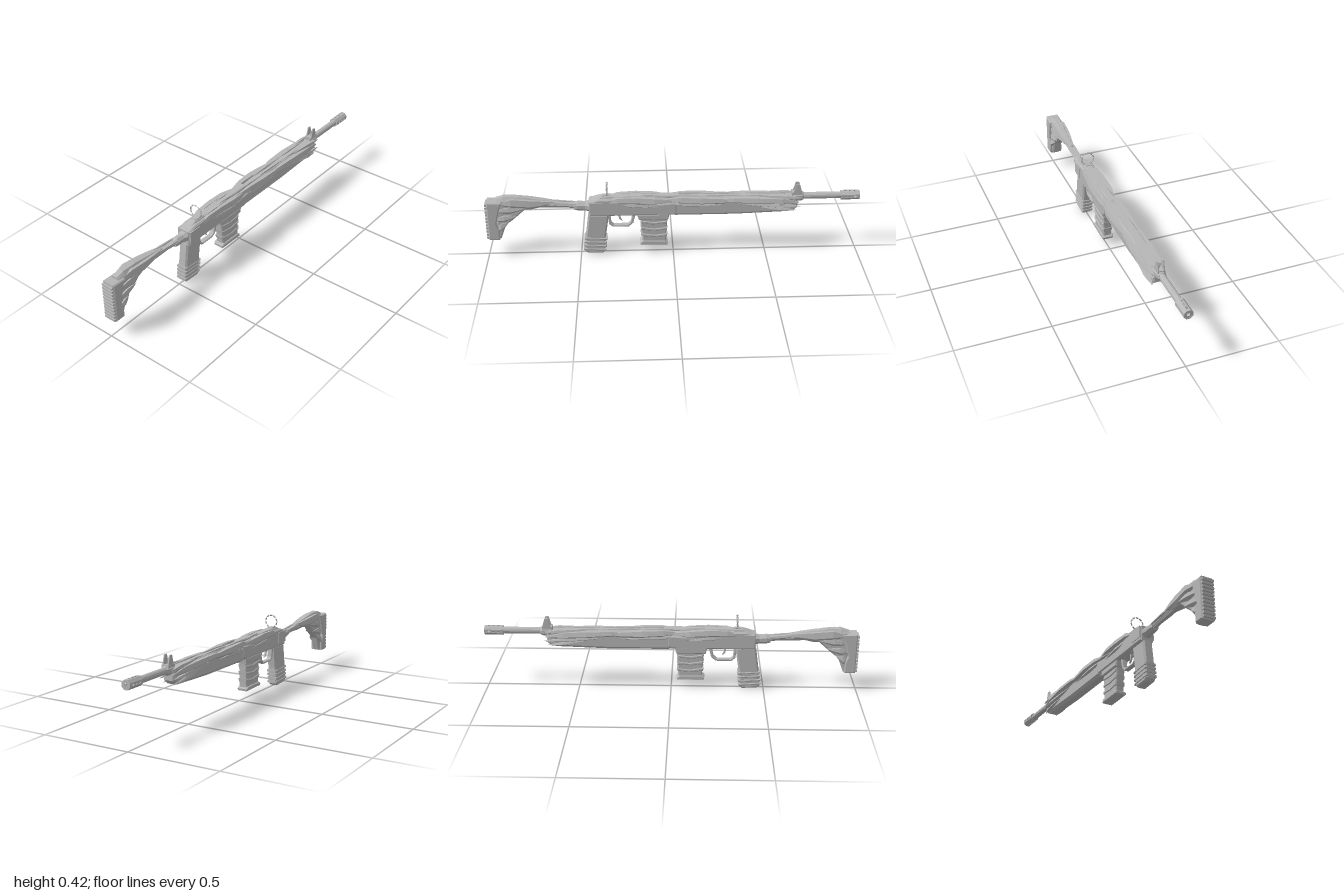
import * as THREE from 'three';

const metal = new THREE.MeshStandardMaterial({ color: 0xb6b6b6, flatShading: true });
metal.name = 'matte grey';

export function createModel() {
  const model = new THREE.Group();
  model.name = 'rifle';

  const add = (name, geometry, parent = model) => {
    const mesh = new THREE.Mesh(geometry, metal);
    mesh.name = name;
    parent.add(mesh);
    return mesh;
  };
  const group = (name) => {
    const g = new THREE.Group();
    g.name = name;
    model.add(g);
    return g;
  };
  const box = (name, x0, x1, y0, y1, halfZ, parent, z = 0) => {
    const m = add(name, new THREE.BoxGeometry(x1 - x0, y1 - y0, halfZ * 2), parent);
    m.position.set((x0 + x1) / 2, (y0 + y1) / 2, z);
    return m;
  };
  // Side outline extruded to a half width with chamfered edges
  const slab = (name, pts, halfZ, bevel = 0.008, parent = model, hole) => {
    const shape = new THREE.Shape(pts.map(p => new THREE.Vector2(...p)));
    if (hole) shape.holes.push(new THREE.Path(hole.map(p => new THREE.Vector2(...p))));
    const g = new THREE.ExtrudeGeometry(shape, {
      depth: 2 * (halfZ - bevel), bevelEnabled: bevel > 0, bevelSize: bevel,
      bevelOffset: -bevel, bevelThickness: bevel, bevelSegments: 1, curveSegments: 6,
    });
    g.translate(0, 0, bevel - halfZ);
    return add(name, g, parent);
  };
  // Faceted loft along x through stations [x, y, z, half height, half width]
  const loft = (name, stations, sides = 6, parent = model, mirror = 1) => {
    const pos = [], idx = [], last = (stations.length - 1) * sides;
    for (const [x, y, z, h, w] of stations)
      for (let j = 0; j < sides; j++) {
        const a = ((j + 0.5) / sides) * Math.PI * 2;
        pos.push(x, y + Math.cos(a) * h, z * mirror + Math.sin(a) * w);
      }
    for (let i = 0; i < stations.length - 1; i++)
      for (let j = 0; j < sides; j++) {
        const a = i * sides + j, b = i * sides + (j + 1) % sides;
        idx.push(a, b, a + sides, b, b + sides, a + sides);
      }
    for (let j = 1; j < sides - 1; j++) idx.push(0, j + 1, j, last, last + j, last + j + 1);
    const g = new THREE.BufferGeometry();
    g.setAttribute('position', new THREE.Float32BufferAttribute(pos, 3));
    g.setIndex(idx);
    g.computeVertexNormals();
    return add(name, g, parent);
  };
  const pair = (name, stations, parent, sides = 5) => {
    for (const s of [1, -1]) loft(name, stations, sides, parent, s);
  };
  // Pointed shard from a to b, fattest at fraction t
  const shard = (name, a, b, h, w, parent, t = 0.4) => {
    const at = (k) => a.map((v, i) => v + (b[i] - v) * k);
    pair(name, [[...at(0), 0.002, 0.002], [...at(t * 0.5), h * 0.75, w * 0.7], [...at(t), h, w],
      [...at((1 + t) / 2), h * 0.6, w * 0.7], [...at(1), 0.001, 0.001]], parent);
  };

  // Receiver and handguard
  slab('receiver', [[-0.45, 0.235], [0.0, 0.235], [0.02, 0.25], [0.02, 0.325], [-0.05, 0.335],
    [-0.4, 0.335], [-0.43, 0.325], [-0.45, 0.32]], 0.038);
  box('receiverRearCap', -0.445, -0.37, 0.255, 0.318, 0.042);
  slab('receiverTop', [[-0.42, 0.33], [0.05, 0.33], [0.03, 0.345], [-0.38, 0.345]], 0.022, 0.005);
  slab('handguard', [[0.0, 0.232], [0.34, 0.232], [0.64, 0.243], [0.665, 0.265], [0.665, 0.325],
    [0.4, 0.335], [0.0, 0.335]], 0.034, 0.01);
  slab('handguardLowerRail', [[0.01, 0.228], [0.34, 0.228], [0.62, 0.238], [0.62, 0.25], [0.01, 0.25]], 0.024, 0.004);

  // Grown, bark-like plating along both flanks
  const plating = group('flankPlating');
  pair('rearPlate', [[-0.38, 0.31, 0.025, 0.006, 0.006], [-0.3, 0.325, 0.03, 0.02, 0.018], [-0.2, 0.325, 0.032, 0.024, 0.022],
    [-0.1, 0.32, 0.034, 0.022, 0.022], [-0.02, 0.315, 0.03, 0.014, 0.012], [0.06, 0.305, 0.026, 0.003, 0.005]], plating);
  pair('middlePlate', [[-0.06, 0.32, 0.022, 0.006, 0.006], [0.04, 0.322, 0.03, 0.022, 0.02], [0.15, 0.318, 0.034, 0.024, 0.024],
    [0.26, 0.315, 0.034, 0.017, 0.016], [0.4, 0.312, 0.028, 0.004, 0.006]], plating);
  pair('frontPlate', [[0.2, 0.318, 0.024, 0.005, 0.006], [0.32, 0.318, 0.034, 0.017, 0.018], [0.45, 0.313, 0.036, 0.022, 0.023],
    [0.58, 0.306, 0.036, 0.021, 0.019], [0.67, 0.296, 0.03, 0.004, 0.006]], plating);
  shard('frontShard', [0.35, 0.295, 0.034], [0.68, 0.275, 0.04], 0.013, 0.017, plating, 0.65);
  shard('frontShard', [0.45, 0.275, 0.03], [0.66, 0.25, 0.034], 0.01, 0.016, plating, 0.6);
  shard('frontShard', [0.42, 0.33, 0.02], [0.685, 0.322, 0.034], 0.014, 0.014, plating, 0.7);
  shard('flankShard', [-0.28, 0.3, 0.034], [-0.08, 0.285, 0.038], 0.013, 0.012, plating);
  shard('flankShard', [-0.02, 0.3, 0.034], [0.26, 0.29, 0.036], 0.012, 0.013, plating);
  shard('flankShard', [-0.16, 0.3, 0.034], [0.04, 0.31, 0.04], 0.008, 0.014, plating, 0.5);
  for (const [x0, x1, y0, y1, z] of [[-0.33, -0.12, 0.337, 0.342, 0.02], [-0.2, 0.0, 0.343, 0.335, 0.012],
    [-0.04, 0.2, 0.338, 0.336, 0.016], [0.12, 0.42, 0.335, 0.333, 0.012], [0.34, 0.62, 0.332, 0.328, 0.014]])
    shard('topShard', [x0, y0, z], [x1, y1, z * 1.2], 0.011, 0.011, plating);

  // Barrel and ported muzzle
  const barrel = group('barrel');
  const tube = add('barrelTube', new THREE.LatheGeometry([[0, 0], [0.018, 0], [0.018, 0.26],
    [0.017, 0.315], [0.009, 0.315], [0.009, 0.2], [0, 0.2]].map(p => new THREE.Vector2(...p)), 12), barrel);
  tube.rotation.z = -Math.PI / 2;
  tube.position.set(0.65, 0.32, 0);
  loft('barrelCollar', [[0.64, 0.318, 0, 0.028, 0.028], [0.69, 0.32, 0, 0.026, 0.026], [0.7, 0.32, 0, 0.02, 0.02]], 8, barrel);
  const sides = 8, radius = 0.024, half = radius * Math.tan(Math.PI / sides);
  for (let i = 0; i < sides; i++) {
    const s = new THREE.Shape([[0.9, -half], [1, -half], [1, half], [0.9, half]].map(p => new THREE.Vector2(...p)));
    if (i % 2 === 0) for (const x of [0.925, 0.95, 0.975])
      s.holes.push(new THREE.Path().absellipse(x, 0, 0.008, 0.006, 0, Math.PI * 2));
    const g = new THREE.ExtrudeGeometry(s, { depth: 0.005, bevelEnabled: false, curveSegments: 4 });
    g.translate(0, 0, radius - 0.005);
    const panel = add('muzzlePanel', g, barrel);
    panel.position.y = 0.32;
    panel.rotation.x = i * Math.PI * 2 / sides;
  }
  for (const x of [0.902, 0.998]) {
    const cap = add('muzzleRing', new THREE.RingGeometry(0.009, 0.0255, 8, 1, Math.PI / 8), barrel);
    cap.position.set(x, 0.32, 0);
    cap.rotation.y = x < 0.95 ? -Math.PI / 2 : Math.PI / 2;
  }

  // Front sight: a post between two ears
  const sight = group('frontSight');
  box('sightBase', 0.635, 0.69, 0.325, 0.348, 0.02, sight);
  box('sightPost', 0.66, 0.666, 0.34, 0.378, 0.002, sight);
  for (const s of [1, -1]) {
    const ear = slab('sightEar', [[0.638, 0.335], [0.69, 0.335], [0.682, 0.37], [0.674, 0.395], [0.656, 0.395], [0.65, 0.37]], 0.0035, 0.001, sight);
    ear.position.z = s * 0.015;
  }

  // Rear ring sight, broken into short arcs
  const ring = group('ringSight');
  box('ringSightBase', -0.375, -0.335, 0.335, 0.348, 0.014, ring);
  for (let i = 0; i < 10; i++) {
    const arc = add('ringArc', new THREE.TorusGeometry(0.035, 0.0042, 4, 3, Math.PI * 0.15), ring);
    arc.rotation.set(0, Math.PI / 2, i * Math.PI / 5 + 0.08);
    arc.position.set(-0.352, 0.382, 0);
  }

  // Pistol grip with ribs on the lower half
  const grip = group('pistolGrip');
  slab('gripBody', [[-0.455, 0.24], [-0.345, 0.24], [-0.35, 0.2], [-0.362, 0.12], [-0.37, 0.015],
    [-0.385, 0.002], [-0.465, 0.006], [-0.482, 0.02], [-0.474, 0.1]], 0.028, 0.009, grip);
  for (let i = 0; i < 4; i++) {
    const y = 0.022 + i * 0.022, b = -0.486 + i * 0.002, f = -0.364 + i * 0.002;
    slab('gripRib', [[b, y + 0.004], [f, y - 0.003], [f, y + 0.01], [b, y + 0.017]], 0.031, 0.004, grip);
  }

  // Trigger and guard
  slab('triggerGuard', [[-0.355, 0.24], [-0.345, 0.175], [-0.325, 0.158], [-0.24, 0.158], [-0.215, 0.18], [-0.2, 0.24]],
    0.014, 0.003, model, [[-0.338, 0.232], [-0.333, 0.18], [-0.32, 0.169], [-0.245, 0.169], [-0.228, 0.185], [-0.218, 0.232]]);
  slab('trigger', [[-0.3, 0.24], [-0.285, 0.24], [-0.283, 0.21], [-0.273, 0.188], [-0.29, 0.2]], 0.005, 0.001);

  // Magazine with layered bands and flared floor plate
  const magazine = group('magazine');
  slab('magazineBody', [[-0.18, 0.24], [-0.03, 0.24], [-0.04, 0.06], [-0.165, 0.06]], 0.024, 0.006, magazine);
  slab('magazineWell', [[-0.195, 0.24], [-0.02, 0.24], [-0.028, 0.205], [-0.185, 0.205]], 0.034, 0.006, magazine);
  for (let i = 0; i < 3; i++) {
    const y = 0.098 + i * 0.039;
    slab('magazineBand', [[-0.172, y + 0.004], [-0.11, y - 0.004], [-0.034, y + 0.002], [-0.032, y + 0.022], [-0.1, y + 0.014], [-0.176, y + 0.025]],
      0.028, 0.006, magazine);
  }
  slab('magazineFloor', [[-0.178, 0.053], [-0.032, 0.05], [-0.03, 0.062], [-0.045, 0.074], [-0.165, 0.076], [-0.18, 0.066]], 0.031, 0.004, magazine);

  // Stock: strut, swept shell, brace and ridged butt
  const stock = group('stock');
  loft('stockStrut', [[-0.8, 0.308, 0, 0.022, 0.022], [-0.66, 0.298, 0, 0.02, 0.02], [-0.58, 0.292, 0, 0.014, 0.015],
    [-0.5, 0.286, 0, 0.017, 0.018], [-0.44, 0.284, 0, 0.026, 0.026]], 6, stock);
  loft('strutKnuckle', [[-0.53, 0.283, 0, 0.018, 0.02], [-0.51, 0.286, 0, 0.026, 0.026], [-0.47, 0.284, 0, 0.025, 0.026],
    [-0.45, 0.284, 0, 0.03, 0.034]], 8, stock);
  shard('strutVine', [-0.72, 0.31, 0.014], [-0.46, 0.296, 0.016], 0.01, 0.009, stock);
  slab('stockBrace', [[-0.945, 0.105], [-0.925, 0.105], [-0.895, 0.185], [-0.845, 0.225], [-0.79, 0.275],
    [-0.7, 0.29], [-0.7, 0.318], [-0.945, 0.335]], 0.024, 0.008, stock);
  loft('stockShellTop', [[-0.945, 0.325, 0, 0.016, 0.024], [-0.9, 0.33, 0, 0.026, 0.03], [-0.82, 0.324, 0, 0.028, 0.028],
    [-0.72, 0.315, 0, 0.019, 0.02], [-0.62, 0.306, 0, 0.008, 0.01]], 6, stock);
  pair('stockShellWing', [[-0.92, 0.315, 0.02, 0.012, 0.01], [-0.86, 0.318, 0.024, 0.03, 0.018], [-0.76, 0.308, 0.022, 0.03, 0.016],
    [-0.69, 0.309, 0.017, 0.018, 0.011], [-0.62, 0.313, 0.01, 0.002, 0.003]], stock);
  shard('braceShard', [-0.94, 0.27, 0.024], [-0.77, 0.29, 0.026], 0.022, 0.015, stock);
  shard('braceShard', [-0.95, 0.22, 0.024], [-0.83, 0.24, 0.024], 0.022, 0.014, stock);
  shard('braceShard', [-0.95, 0.16, 0.024], [-0.88, 0.2, 0.02], 0.025, 0.016, stock);
  slab('buttBlock', [[-0.99, 0.103], [-0.932, 0.103], [-0.93, 0.16], [-0.945, 0.2], [-0.925, 0.28], [-0.91, 0.325], [-0.99, 0.328]], 0.037, 0.006, stock);
  for (let i = 0; i < 11; i++) box('buttRidge', -1, -0.985, 0.11 + i * 0.0195, 0.122 + i * 0.0195, 0.032, stock);

  return model;
}
